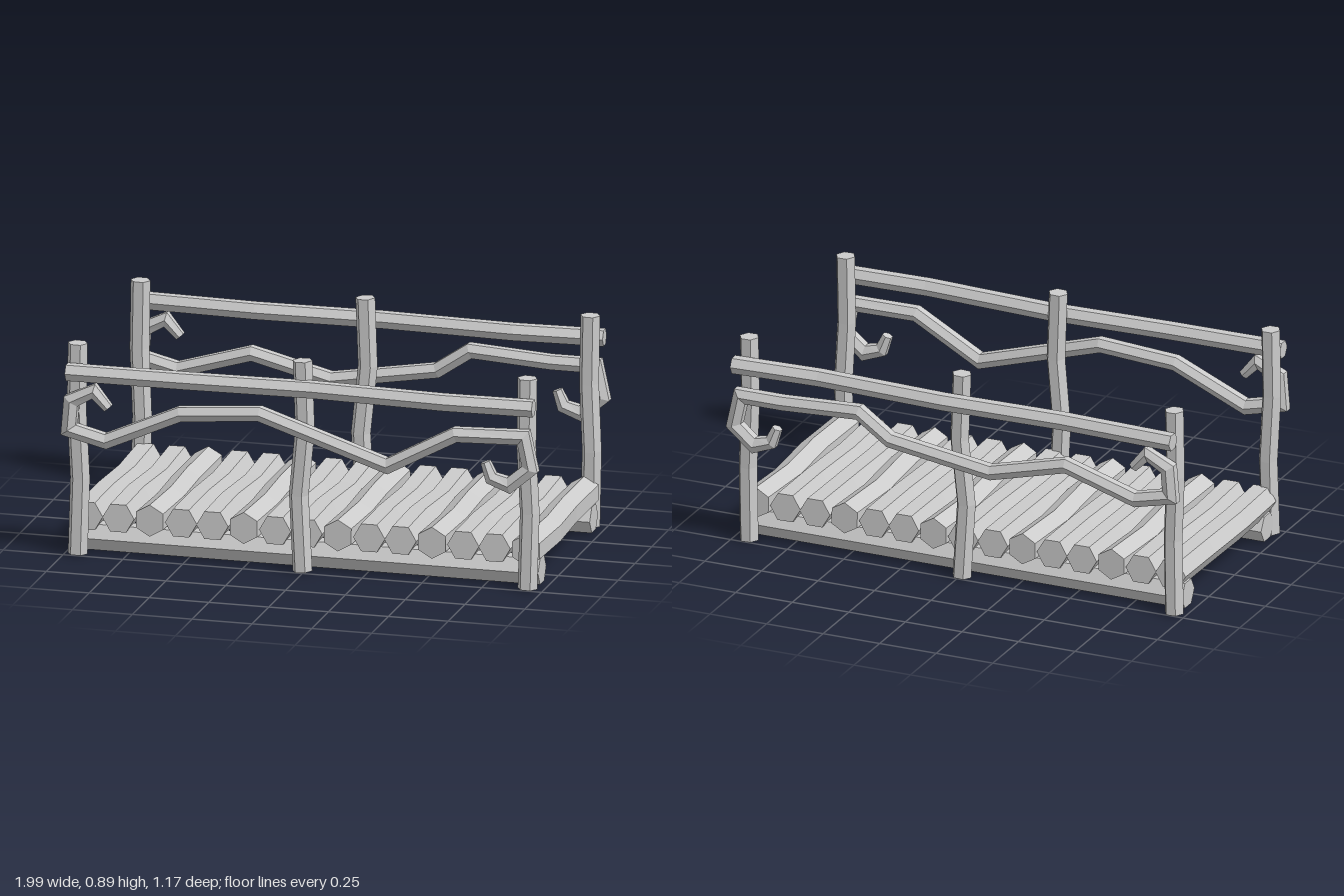
import * as THREE from 'three';

const material = new THREE.MeshStandardMaterial({ color: 0xcccccc, flatShading: true, side: THREE.DoubleSide });

// Six-sided log swept along points with mitred bends; a corner lies along ref (turned by spin).
function log(name, points, radius, ref, spin = 0) {
  const path = points.map(p => new THREE.Vector3(...p));
  const last = path.length - 1;
  const rings = path.map((p, i) => {
    const a = path[i].clone().sub(path[Math.max(i - 1, 0)]).normalize();
    const b = path[Math.min(i + 1, last)].clone().sub(path[i]).normalize();
    const tangent = a.clone().add(b).normalize();
    const side = ref.clone().cross(tangent).normalize();
    const up = tangent.clone().cross(side);
    const cosHalf = i === 0 || i === last ? 1 : tangent.dot(a);
    const mitre = Math.min(1 / cosHalf, 1.35);
    const r = typeof radius === 'function' ? radius(i, last) : radius;
    return Array.from({ length: 6 }, (_, k) => {
      const t = k * Math.PI / 3 + spin;
      return p.clone().addScaledVector(up, -r * Math.cos(t)).addScaledVector(side, r * mitre * Math.sin(t));
    });
  });
  const verts = [];
  const tri = (...c) => c.forEach(v => verts.push(v.x, v.y, v.z));
  for (let k = 0; k < 6; k++) {
    const n = (k + 1) % 6;
    for (let i = 0; i < last; i++) {
      const [a, b, c, d] = [rings[i][k], rings[i][n], rings[i + 1][n], rings[i + 1][k]];
      tri(a, c, b);
      tri(a, d, c);
    }
    tri(path[0], rings[0][k], rings[0][n]);
    tri(path[last], rings[last][n], rings[last][k]);
  }
  const geometry = new THREE.BufferGeometry();
  geometry.setAttribute('position', new THREE.Float32BufferAttribute(verts, 3));
  geometry.computeVertexNormals();
  const mesh = new THREE.Mesh(geometry, material);
  mesh.name = name;
  return mesh;
}

export function createModel() {
  const model = new THREE.Group();
  model.name = 'logBridge';
  const X = new THREE.Vector3(1, 0, 0);
  const Z = new THREE.Vector3(0, 0, 1);

  // Deck logs, every third one turned corner-up
  const deck = new THREE.Group();
  deck.name = 'deck';
  for (let i = -7; i <= 7; i++) {
    const x = i * 0.131;
    const kind = (i + 9) % 3;
    const sway = [0.008, -0.008, 0.005][kind];
    deck.add(log('deckLog', [
      [x, 0.153, -0.44], [x + sway, 0.145, -0.14], [x - sway, 0.15, 0.15], [x, 0.153, 0.44],
    ], 0.066, X, kind === 1 ? Math.PI / 6 : 0));
  }
  model.add(deck);

  // Bearers and posts on both sides
  for (const s of [1, -1]) {
    model.add(log('bearer', [[-0.97, 0.06, s * 0.385], [0.97, 0.06, s * 0.385]], 0.062, Z));
    for (const [x, bend] of [[-0.947, 0.008], [-0.008, -0.017], [0.932, 0.008]]) {
      model.add(log('post', [
        [x, 0.003, s * 0.468], [x + bend, 0.32, s * 0.462],
        [x - bend * 0.6, 0.6, s * 0.468], [x, 0.885, s * 0.468],
      ], 0.041, X));
    }
  }

  // Top handrails
  const railX = [-0.975, -0.48, 0.04, 0.6, 0.975];
  const railZ = { front: [0.53, 0.525, 0.508, 0.54, 0.53], back: [-0.543, -0.522, -0.535, -0.51, -0.528] };
  for (const side of ['front', 'back']) {
    model.add(log(side + 'Handrail', railX.map((x, i) => [x, 0.778, railZ[side][i]]), 0.038, Z));
  }

  // Crooked branches with a curl at each end
  const leftCurl = [[-0.8, 0.64], [-0.86, 0.708], [-0.955, 0.66], [-0.965, 0.54], [-0.81, 0.502]];
  const rightCurl = [[0.935, 0.655], [0.963, 0.525], [0.875, 0.45], [0.8, 0.475], [0.775, 0.54]];
  const middles = {
    front: [[-0.5, 0.64, 0.53], [-0.17, 0.665, 0.525], [0.37, 0.495, 0.545], [0.655, 0.65, 0.55]],
    back: [[-0.5, 0.595, -0.535], [-0.17, 0.51, -0.54], [0.27, 0.58, -0.55], [0.41, 0.675, -0.545], [0.75, 0.655, -0.54]],
  };
  const taper = (i, last) => [0.022, 0.029][Math.min(i, last - i)] ?? 0.034;
  for (const [side, z] of [['front', 0.532], ['back', -0.54]]) {
    const curl = points => points.map(([x, y]) => [x, y, z]);
    model.add(log(side + 'Branch', [...curl(leftCurl), ...middles[side], ...curl(rightCurl)], taper, Z));
  }
  return model;
}
